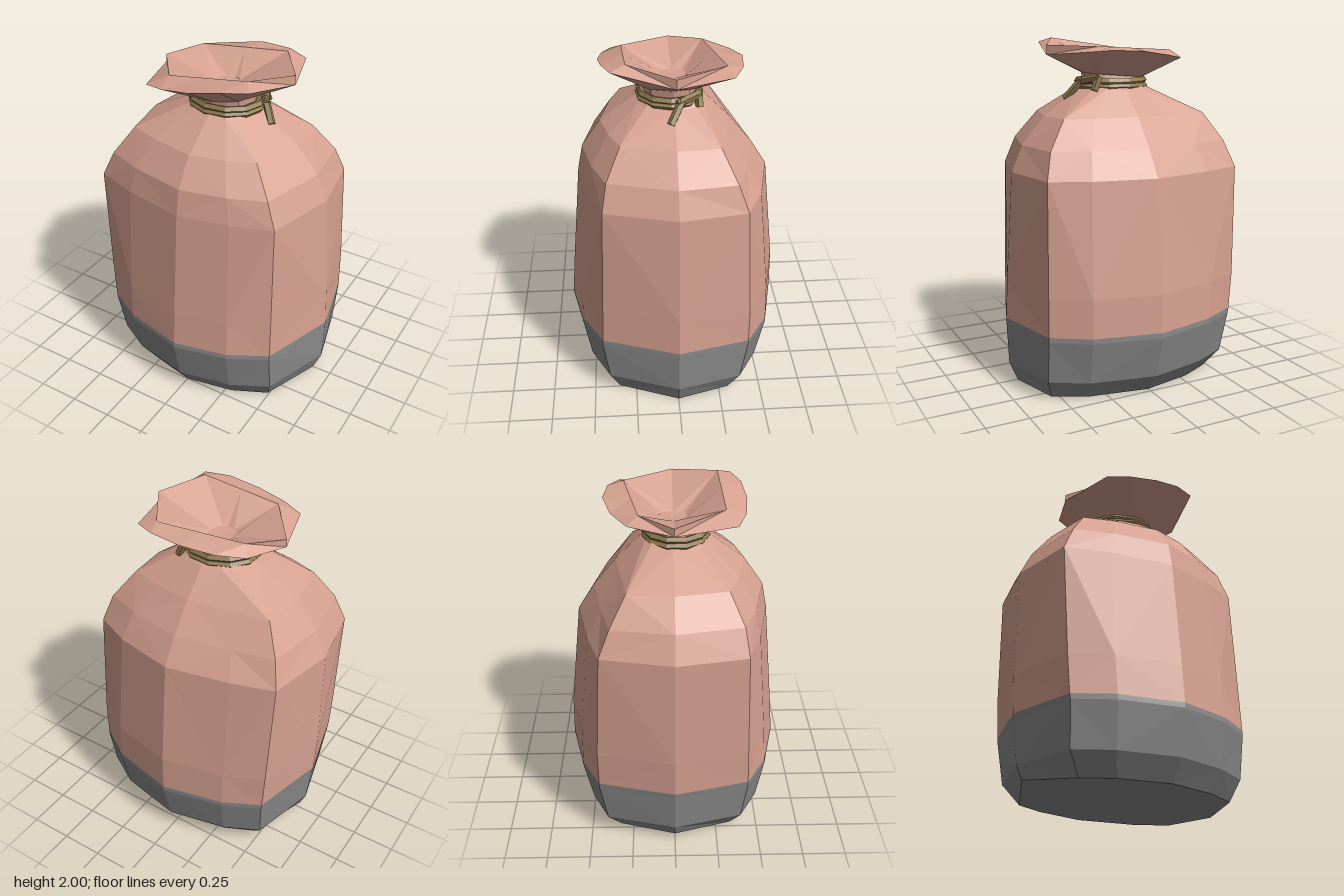
import * as THREE from 'three';

const cloth = new THREE.MeshStandardMaterial({ color: 0xd6a190 });
cloth.name = 'clay pink cloth';
const base = new THREE.MeshStandardMaterial({ color: 0x8a8a8a });
base.name = 'grey base';
const rope = new THREE.MeshStandardMaterial({ color: 0x8f7a50 });
rope.name = 'tan rope';

// Lumpy twelve-sided plan of the sack, running from +x towards +z, as fractions of its reach
const plan = [
  [1, 0], [0.78, 0.7], [0.46, 0.89], [0, 1], [-0.53, 0.87], [-0.84, 0.68],
  [-1, 0], [-0.84, -0.7], [-0.53, -0.87], [0, -1], [0.56, -0.86], [0.86, -0.65],
];
const N = plan.length;

// Cross-section at height y with its own reach to each side; the four corners can be pushed out
const ring = ([y, left, right, back, front, frontCorner = 1, backCorner = 1]) =>
  plan.map(([u, v], i) => {
    const push = [1, 5].includes(i) ? frontCorner : [7, 11].includes(i) ? backCorner : 1;
    return [push * u * (u < 0 ? left : right), y, push * v * (v < 0 ? back : front)];
  });

// Faceted skin through a stack of loops, with optional centre points closing the ends
function skin(loops, bottom, top) {
  const p = [];
  const tri = (a, b, c) => p.push(...a, ...b, ...c);
  for (let k = 0; k < loops.length - 1; k++) {
    const a = loops[k], b = loops[k + 1];
    for (let i = 0; i < N; i++) {
      const j = (i + 1) % N;
      if ((i + k) % 2) {
        tri(a[i], b[i], b[j]);
        tri(a[i], b[j], a[j]);
      } else {
        tri(a[i], b[i], a[j]);
        tri(a[j], b[i], b[j]);
      }
    }
  }
  for (let i = 0; i < N; i++) {
    const j = (i + 1) % N;
    if (bottom) tri(bottom, loops[0][i], loops[0][j]);
    if (top) tri(top, loops.at(-1)[j], loops.at(-1)[i]);
  }
  const g = new THREE.BufferGeometry();
  g.setAttribute('position', new THREE.Float32BufferAttribute(p, 3));
  g.computeVertexNormals();
  return g;
}

// Flat-faced copy of a built-in geometry
function faceted(g) {
  const f = g.toNonIndexed();
  f.computeVertexNormals();
  return f;
}

function createModel() {
  const group = new THREE.Group();
  const add = (name, geometry, material) => {
    const mesh = new THREE.Mesh(geometry, material);
    mesh.name = name;
    group.add(mesh);
    return mesh;
  };

  // Grey lower part, its right edge lifted slightly off the ground
  const seam = ring([0.4, 0.68, 0.69, 0.63, 0.628]);
  const sole = ring([0, 0.55, 0.63, 0.47, 0.5]);
  sole[6] = [-0.61, 0.045, 0];
  add('sackBase', skin([
    sole,
    ring([0.12, 0.645, 0.68, 0.57, 0.58]),
    ring([0.37, 0.675, 0.69, 0.63, 0.63]),
    seam,
  ], [0, 0, 0]), base);

  // Body, shoulders and gathered neck
  add('sackBody', skin([seam, ...[
    [0.62, 0.69, 0.68, 0.625, 0.61, 1.01, 1.01],
    [1.26, 0.69, 0.635, 0.555, 0.55, 1.06, 1.05],
    [1.41, 0.62, 0.57, 0.46, 0.52, 1.05, 1.08],
    [1.57, 0.5, 0.43, 0.33, 0.41, 1.05, 1.12],
    [1.71, 0.23, 0.22, 0.19, 0.22],
    [1.75, 0.15, 0.17, 0.14, 0.17],
    [1.81, 0.15, 0.18, 0.13, 0.18],
  ].map(ring)]), cloth);

  // Flared mouth: outer rim, a six-cornered lip, then a hollow with a small floor
  const throat = ring([1.79, 0.17, 0.18, 0.15, 0.18]).map(([x, y, z]) => [x, y + 0.08 * x, z]);
  const rim = [
    [0.41, 1.91, 0], [0.32, 1.975, 0.34], [0.18, 1.965, 0.39], [0, 1.93, 0.41],
    [-0.18, 1.9, 0.39], [-0.31, 1.88, 0.34], [-0.41, 1.865, 0], [-0.32, 1.89, -0.25],
    [-0.18, 1.91, -0.34], [0, 1.935, -0.39], [0.19, 1.94, -0.37], [0.32, 1.93, -0.31],
  ];
  const between = (a, b, t) => a.map((v, i) => v + (b[i] - v) * t);
  const frontLip = [[0.27, 2, 0.26], [-0.2, 1.935, 0.28]];
  const backLip = [[-0.28, 1.935, -0.19], [0.22, 1.96, -0.28]];
  const edge = ([a, b]) => [0, 0.25, 0.5, 0.75, 1].map((t) => between(a, b, t));
  const lip = [[0.41, 1.965, 0], ...edge(frontLip), [-0.41, 1.91, 0], ...edge(backLip)];
  const hollow = ring([1.83, 0.09, 0.06, 0.08, 0.08]);
  add('sackMouth', skin([throat, rim, lip, hollow], null, [-0.02, 1.825, 0]), cloth);

  // Rope wound twice around the neck
  [[1.727, 0.205, 0.012], [1.755, 0.2, -0.012]].forEach(([y, r, tilt], i) => {
    const g = new THREE.TorusGeometry(r, 0.023, 5, 11);
    g.rotateX(Math.PI / 2).scale(1, 1, 0.86).rotateZ(tilt);
    add('ropeLoop' + (i + 1), faceted(g), rope).position.set(0, y, 0.015);
  });

  // Loose rope ends beside the knot
  const up = new THREE.Vector3(0, 1, 0);
  const strand = (name, from, to) => {
    const a = new THREE.Vector3(...from), b = new THREE.Vector3(...to);
    const d = b.clone().sub(a);
    const g = new THREE.CylinderGeometry(0.023, 0.023, d.length() + 0.01, 5);
    const mesh = add(name, faceted(g), rope);
    mesh.position.copy(a).add(b).multiplyScalar(0.5);
    mesh.quaternion.setFromUnitVectors(up, d.normalize());
  };
  strand('ropeKnot', [0.16, 1.78, -0.14], [0.225, 1.755, -0.02]);
  strand('ropeTail', [0.21, 1.77, -0.045], [0.285, 1.66, 0.02]);
  strand('ropeShortEnd', [0.15, 1.785, -0.14], [0.18, 1.715, -0.14]);

  return group;
}

export { createModel };
